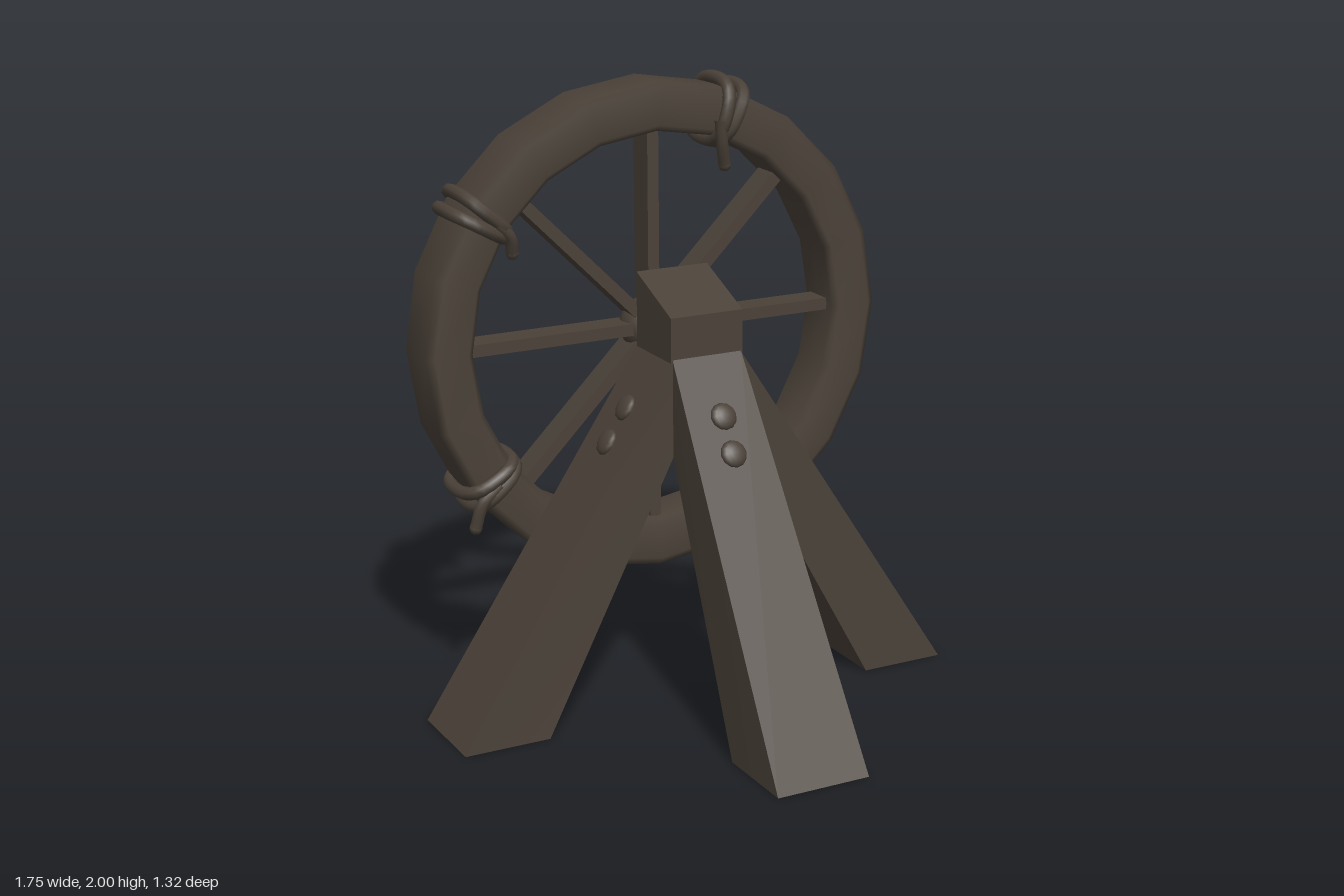
import * as THREE from 'three';

const HUB_Y = 1.18, WHEEL_Z = -0.51, POST_Z = -0.21;

export function createModel() {
  const model = new THREE.Group();
  model.name = 'wheelOnStand';
  const wood = new THREE.MeshStandardMaterial({ color: 0x4a4138 });
  wood.name = 'dark wood';

  const add = (parent, name, geometry) => {
    const mesh = new THREE.Mesh(geometry, wood);
    mesh.name = name;
    parent.add(mesh);
    return mesh;
  };

  // Box whose corners (each -1 or 1) are moved by a rule
  const shapedBox = (rule) => {
    const g = new THREE.BoxGeometry(2, 2, 2);
    const p = g.attributes.position;
    for (let i = 0; i < p.count; i++) p.setXYZ(i, ...rule(p.getX(i), p.getY(i), p.getZ(i)));
    g.computeVertexNormals();
    return g;
  };

  // Centre post with a sloping top
  add(model, 'post', shapedBox((u, v, w) => [
    u * 0.127, v < 0 ? 0.86 : w > 0 ? 1.31 : 1.41, POST_Z + w * 0.12,
  ]));

  // Three splayed, tapering legs, each with two studs on its upper face
  const legGeo = shapedBox((u, v, w) => v < 0
    ? [u > 0 ? 0.875 : 0.585, 0, w * 0.16]
    : [0.12, u > 0 ? 1.175 : 0.86, w * 0.122]);
  const studGeo = new THREE.SphereGeometry(0.045, 12, 8);
  studGeo.scale(1, 0.45, 1);
  const slope = Math.atan2(1.175, 0.755);
  [['leftLeg', 0], ['frontLeg', -Math.PI / 2], ['rightLeg', Math.PI]].forEach(([name, turn]) => {
    const leg = new THREE.Group();
    leg.name = name;
    leg.position.z = POST_Z;
    leg.rotation.y = turn;
    add(leg, 'legBeam', legGeo);
    for (const x of [0.23, 0.297]) {
      const stud = add(leg, 'stud', studGeo);
      stud.position.set(x, (0.875 - x) * 1.175 / 0.755, 0);
      stud.rotation.z = -slope;
    }
    model.add(leg);
  });

  // Wheel: bevelled rim, eight plank spokes, domed hub and axle
  const wheel = new THREE.Group();
  wheel.name = 'wheel';
  wheel.position.set(0, HUB_Y, WHEEL_Z);
  model.add(wheel);

  const rimProfile = [
    [0.655, 0], [0.655, -0.08], [0.675, -0.1], [0.79, -0.1], [0.815, -0.083],
    [0.815, 0.083], [0.79, 0.1], [0.675, 0.1], [0.655, 0.08], [0.655, 0],
  ].map(([r, h]) => new THREE.Vector2(r, h));
  add(wheel, 'rim', new THREE.LatheGeometry(rimProfile, 20)).rotation.x = Math.PI / 2;

  const spokeGeo = new THREE.BoxGeometry(0.04, 0.66, 0.1);
  spokeGeo.translate(0, 0.34, 0);
  for (let i = 0; i < 8; i++) add(wheel, 'spoke', spokeGeo).rotation.z = i * Math.PI / 4;

  const hub = add(wheel, 'hub', new THREE.SphereGeometry(0.095, 16, 12));
  hub.scale.z = 0.95;
  const axle = add(wheel, 'axle', new THREE.CylinderGeometry(0.053, 0.053, 0.24, 16));
  axle.rotation.x = Math.PI / 2;
  axle.position.z = 0.11;

  // Rope lashings: two tilted loops around the rim, plus a loose tail
  const loopGeo = (tilt, shift) => {
    const pts = [];
    for (let i = 0; i < 16; i++) {
      const a = i * Math.PI / 8, c = Math.cos(a), s = Math.sin(a);
      const round = (t, r) => Math.sign(t) * Math.pow(Math.abs(t), 0.75) * r;
      pts.push(new THREE.Vector3(0.735 + round(c, 0.1), shift + tilt * c, round(s, 0.122)));
    }
    return new THREE.TubeGeometry(new THREE.CatmullRomCurve3(pts, true), 32, 0.022, 8, true);
  };
  const loops = [loopGeo(0.012, 0.02), loopGeo(-0.014, -0.02)];

  const lashings = [
    [70, [[0.21, 1.86, -0.39], [0.22, 1.78, -0.4], [0.24, 1.705, -0.42]]],
    [145, [[-0.58, 1.6, -0.39], [-0.53, 1.55, -0.4], [-0.515, 1.495, -0.42]]],
    [216, [[-0.59, 0.75, -0.39], [-0.65, 0.69, -0.395], [-0.67, 0.61, -0.41]]],
  ];
  for (const [degrees, tail] of lashings) {
    const rope = new THREE.Group();
    rope.name = 'ropeLashing';
    rope.position.copy(wheel.position);
    rope.rotation.z = THREE.MathUtils.degToRad(degrees);
    loops.forEach((g) => add(rope, 'ropeLoop', g));
    model.add(rope);

    const pts = tail.map((p) => new THREE.Vector3(...p));
    add(model, 'ropeTail', new THREE.TubeGeometry(new THREE.CatmullRomCurve3(pts), 8, 0.021, 8));
    const tip = add(model, 'ropeTip', new THREE.SphereGeometry(0.022, 8, 6));
    tip.position.copy(pts[2]);
  }

  return model;
}
